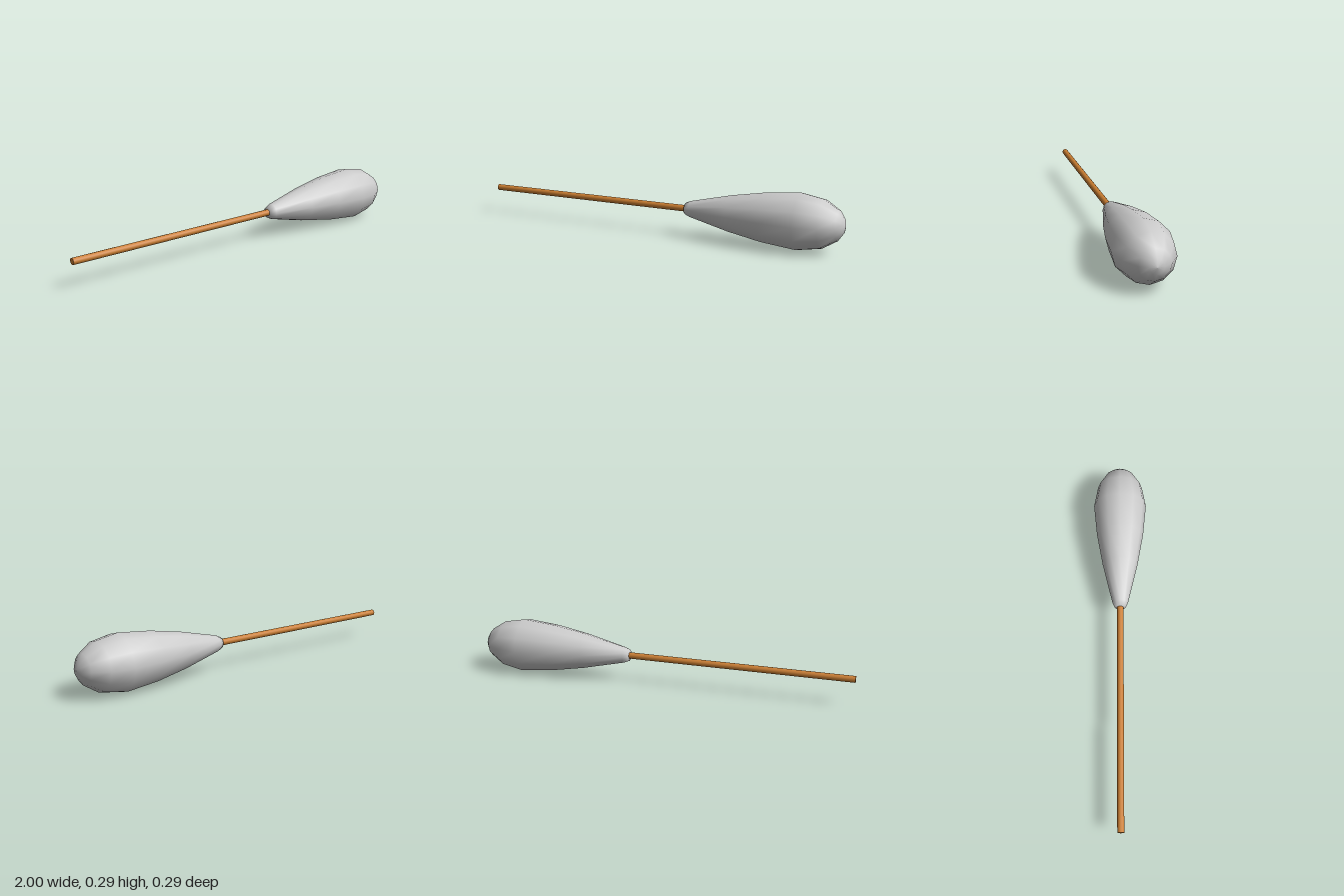
import * as THREE from 'three';

const RADIUS = 0.143; // widest radius of the head, also the height of the axis

export function createModel() {
  const model = new THREE.Group();

  // Everything is turned around one axis, then laid along x
  const swab = new THREE.Group();
  swab.name = 'swab';
  swab.rotation.z = -Math.PI / 2;
  swab.position.y = RADIUS;
  model.add(swab);

  // Teardrop cotton head: [radius, position along the axis]
  const profile = [
    [0, 0.172], [0.03, 0.172], [0.042, 0.2], [0.094, 0.42], [0.126, 0.6],
    [RADIUS, 0.775], [0.122, 0.89], [0.075, 0.965], [0.035, 0.992], [0, 1],
  ].map(([r, t]) => new THREE.Vector2(r, t));
  const head = new THREE.Mesh(
    new THREE.LatheGeometry(profile, 12),
    new THREE.MeshStandardMaterial({ color: 0xcccccc }),
  );
  head.name = 'cottonHead';
  swab.add(head);

  // Thin wooden stick, ending inside the head
  const start = -1, end = 0.2;
  const stick = new THREE.Mesh(
    new THREE.CylinderGeometry(0.017, 0.017, end - start, 12),
    new THREE.MeshStandardMaterial({ color: 0xcc7f32 }),
  );
  stick.name = 'stick';
  stick.position.y = (start + end) / 2;
  swab.add(stick);

  return model;
}
